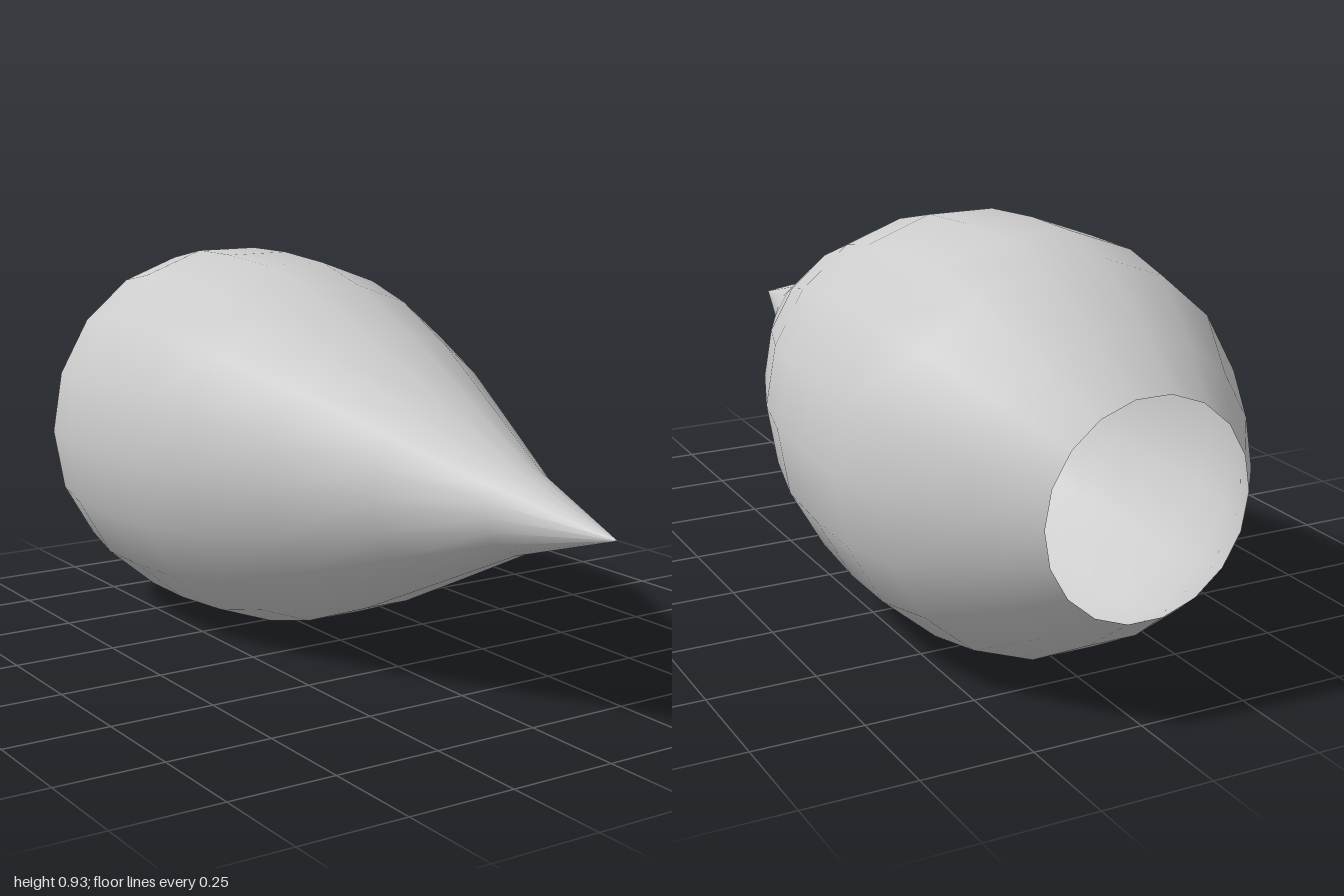
import * as THREE from 'three';

export function createModel() {
  const group = new THREE.Group();
  group.name = 'teardropShell';

  // Profile from the open rear rim to the pointed tip: [z, radius]
  const profile = [
    [-1, 0.236], [-0.88, 0.33], [-0.69, 0.44], [-0.54, 0.47], [-0.38, 0.47],
    [-0.2, 0.457], [-0.03, 0.415], [0.2, 0.328], [0.45, 0.212], [0.7, 0.095], [1, 0],
  ].map(([z, r]) => new THREE.Vector2(r, z));

  // Eighteen-sided shell, turned so that its axis runs along z
  const sides = 18;
  const geometry = new THREE.LatheGeometry(profile, sides, Math.PI / 2);
  geometry.rotateX(Math.PI / 2);

  const shell = new THREE.Mesh(
    geometry,
    new THREE.MeshStandardMaterial({ color: 0xcccccc, side: THREE.DoubleSide })
  );
  shell.name = 'shell';
  // Rest the flat lower facet on the ground
  shell.position.y = 0.47 * Math.cos(Math.PI / sides);
  group.add(shell);
  return group;
}
